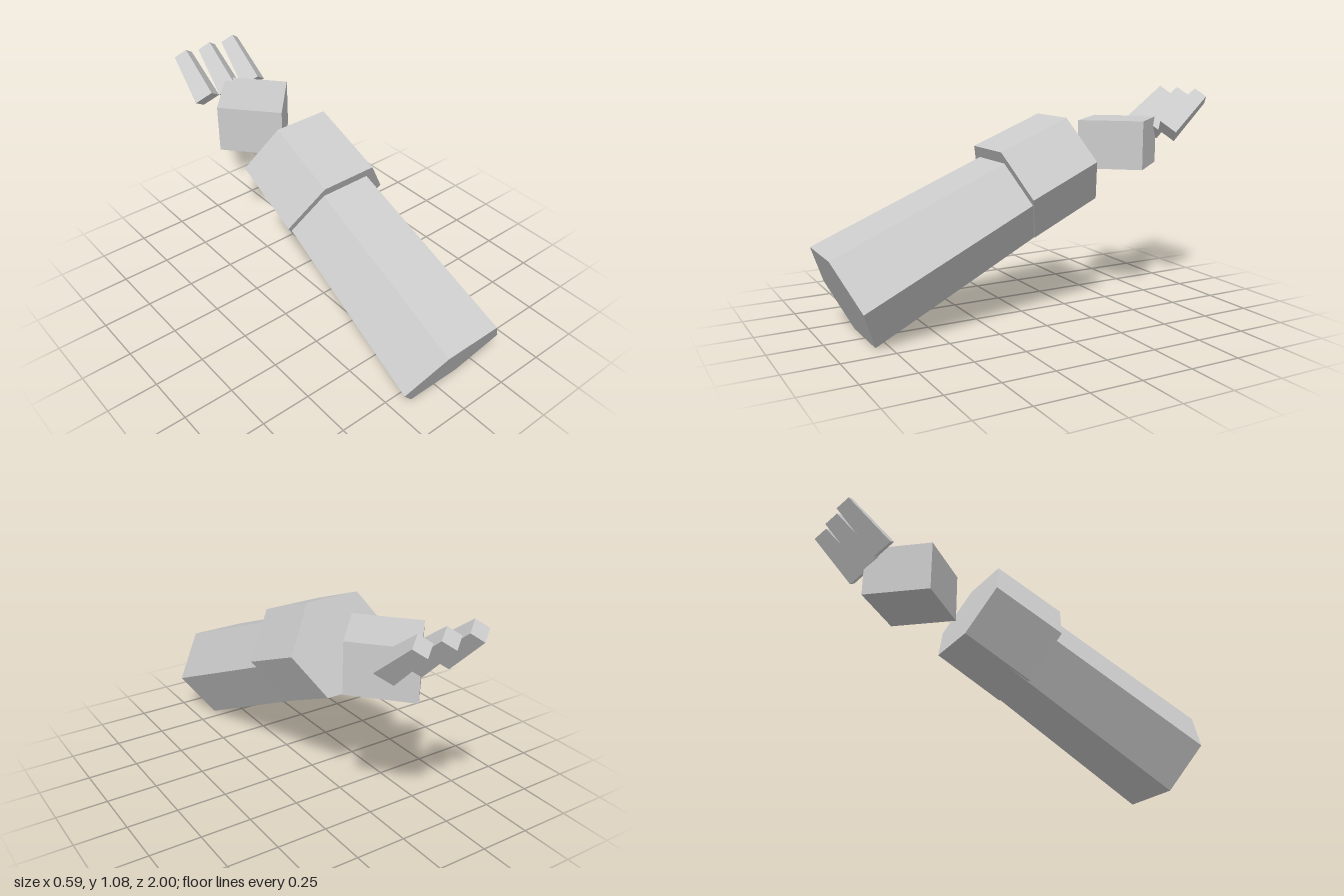
import * as THREE from 'three';

const grey = new THREE.MeshStandardMaterial({ color: 0xcccccc });
grey.name = 'grey';

// Faceted tapered prism running from start to end, given as [x, y, z]
function prism(name, sides, start, end, rStart, rEnd, flatten = 1) {
  const a = new THREE.Vector3(...start);
  const b = new THREE.Vector3(...end);
  const dir = b.clone().sub(a);
  const theta = sides === 6 ? Math.PI / 2 : 0; // corners point to both sides
  const geometry = new THREE.CylinderGeometry(rEnd, rStart, dir.length(), sides, 1, false, theta)
    .scale(1, 1, flatten)
    .rotateX(Math.atan2(dir.y, -dir.z) - Math.PI / 2)
    .toNonIndexed();
  geometry.computeVertexNormals(); // flat facets
  const mesh = new THREE.Mesh(geometry, grey);
  mesh.name = name;
  mesh.position.copy(a).add(b).multiplyScalar(0.5);
  return mesh;
}

export function createModel() {
  const group = new THREE.Group();
  group.name = 'roboticArm';

  // Forearm, with its narrow end inside the cuff
  group.add(prism('forearm', 6, [0, 0.208, 0.905], [0, 0.708, -0.186], 0.293, 0.243, 0.9));

  // Wrist cuff
  group.add(prism('cuff', 6, [0, 0.615, 0.0925], [0, 0.765, -0.255], 0.283, 0.272, 0.925));

  // Diamond-shaped palm
  group.add(prism('palm', 4, [0, 0.696, -0.561], [0, 0.936, -0.561], 0.213, 0.213, 1.125));

  // Three tapered fingers
  [-0.142, 0, 0.142].forEach((x, i) => {
    group.add(prism(`finger${i + 1}`, 4, [x, 0.872, -0.764], [x, 1.043, -0.967], 0.07, 0.051));
  });

  return group;
}
